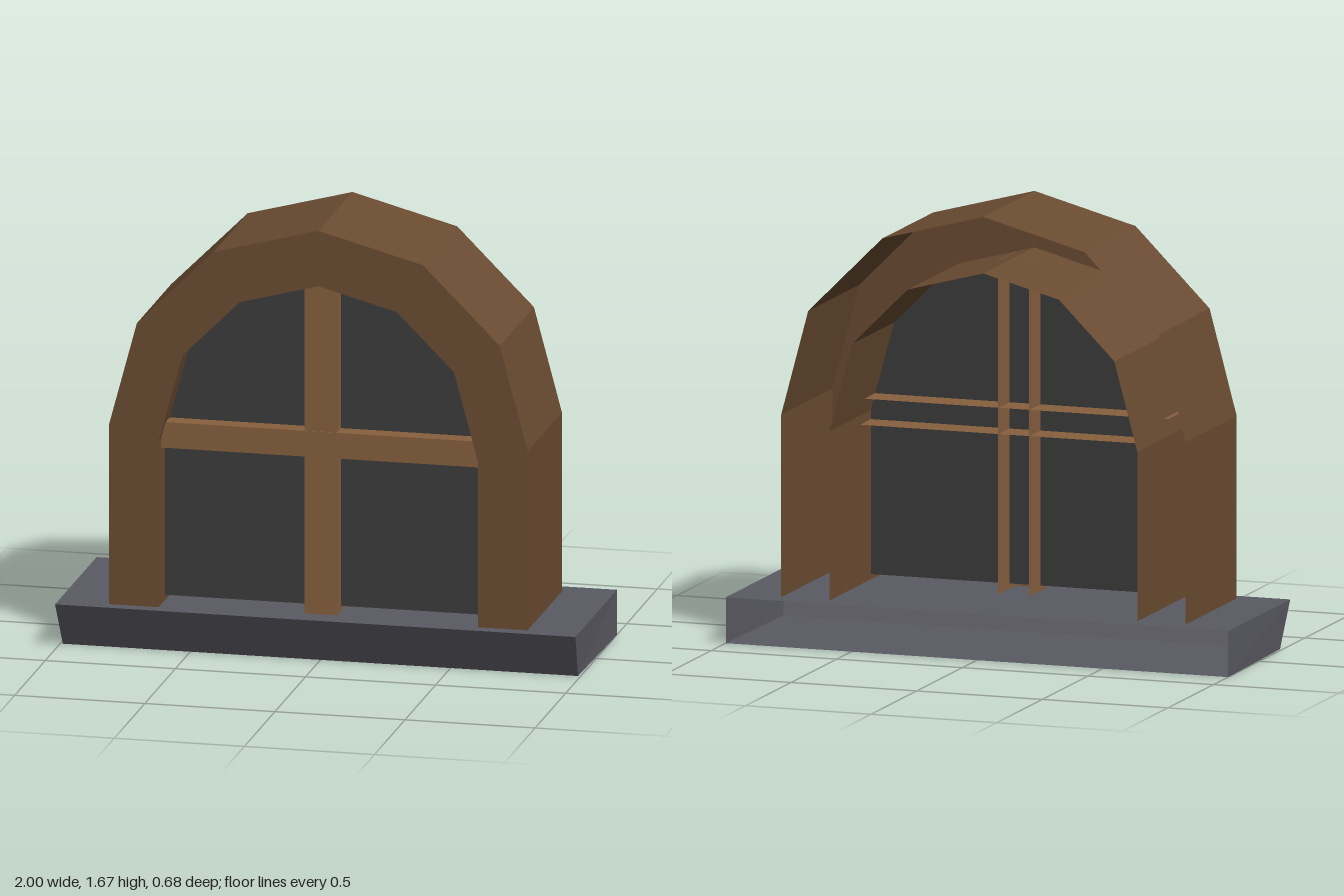
import * as THREE from 'three';

const mat = (color) => new THREE.MeshStandardMaterial({ color, flatShading: true, side: THREE.DoubleSide });
const FRONT = 0.29, BACK = -0.27, SILL_TOP = 0.175;

// Arch outline from left foot to right foot, six straight segments over the top
function arch(radius, centreY, footX, springY, footY) {
  const pts = [[-footX, footY], [-footX, springY]];
  for (let i = 1; i < 6; i++) {
    const a = Math.PI * (1 - i / 6);
    pts.push([radius * Math.cos(a), centreY + radius * Math.sin(a)]);
  }
  pts.push([footX, springY], [footX, footY]);
  return pts.map(([x, y]) => new THREE.Vector2(x, y));
}

// Open wall that sweeps an outline from the back to the front
function wall(pts) {
  const n = pts.length;
  const geo = new THREE.PlaneGeometry(1, 1, n - 1, 1);
  const pos = geo.attributes.position;
  for (let i = 0; i < n; i++) {
    pos.setXYZ(i, pts[i].x, pts[i].y, BACK);
    pos.setXYZ(n + i, pts[i].x, pts[i].y, FRONT);
  }
  geo.computeVertexNormals();
  return geo;
}

// Box that keeps only the listed sides (0 +x, 1 -x, 2 +y, 3 -y, 4 +z, 5 -z)
function openBox(x0, x1, y0, y1, z0, z1, sides) {
  const geo = new THREE.BoxGeometry(x1 - x0, y1 - y0, z1 - z0);
  geo.translate((x0 + x1) / 2, (y0 + y1) / 2, (z0 + z1) / 2);
  const all = Array.from(geo.index.array);
  geo.setIndex(sides.flatMap((s) => all.slice(s * 6, s * 6 + 6)));
  geo.clearGroups();
  return geo;
}

export function createModel() {
  const group = new THREE.Group();
  const add = (name, geo, material) => {
    const mesh = new THREE.Mesh(geo, material);
    mesh.name = name;
    group.add(mesh);
  };
  const wood = mat(0x6b4c32), barWood = mat(0x87603f), stone = mat(0x5a5a62), glass = mat(0x3c3c3c);

  // Arched frame: front face, outer wall and inner wall, open at the back
  const outer = arch(0.805, 0.87, 0.805, 0.87, 0.17);
  const inner = arch(0.602, 0.858, 0.613, 0.82, 0.17);
  const face = new THREE.ShapeGeometry(new THREE.Shape([...outer, ...inner.slice().reverse()]));
  face.translate(0, 0, FRONT);
  add('frameFace', face, wood);
  add('frameOuterWall', wall(outer), wood);
  add('frameInnerWall', wall(inner.slice().reverse()), wood);

  // Window pane, ending just above the sill
  const pane = new THREE.ShapeGeometry(new THREE.Shape(arch(0.602, 0.858, 0.613, 0.82, 0.195)));
  pane.translate(0, 0, 0.185);
  add('pane', pane, glass);

  // Crossing bars, open at the back and at their ends
  add('verticalBar', openBox(-0.062, 0.062, 0.17, 1.447, 0.06, 0.25, [0, 1, 4]), barWood);
  add('horizontalBar', openBox(-0.613, 0.613, 0.785, 0.885, 0.065, 0.253, [2, 3, 4]), barWood);

  // Sill with a front that slopes in towards the bottom, open at the back
  const sill = openBox(-1, 1, 0, SILL_TOP, -0.34, 0.34, [0, 1, 2, 3, 4]);
  const pos = sill.attributes.position;
  for (let i = 0; i < pos.count; i++) {
    if (pos.getY(i) < 0.01 && pos.getZ(i) > 0) {
      pos.setX(i, pos.getX(i) * 0.99);
      pos.setZ(i, 0.255);
    }
  }
  sill.computeVertexNormals();
  add('sill', sill, stone);

  return group;
}
